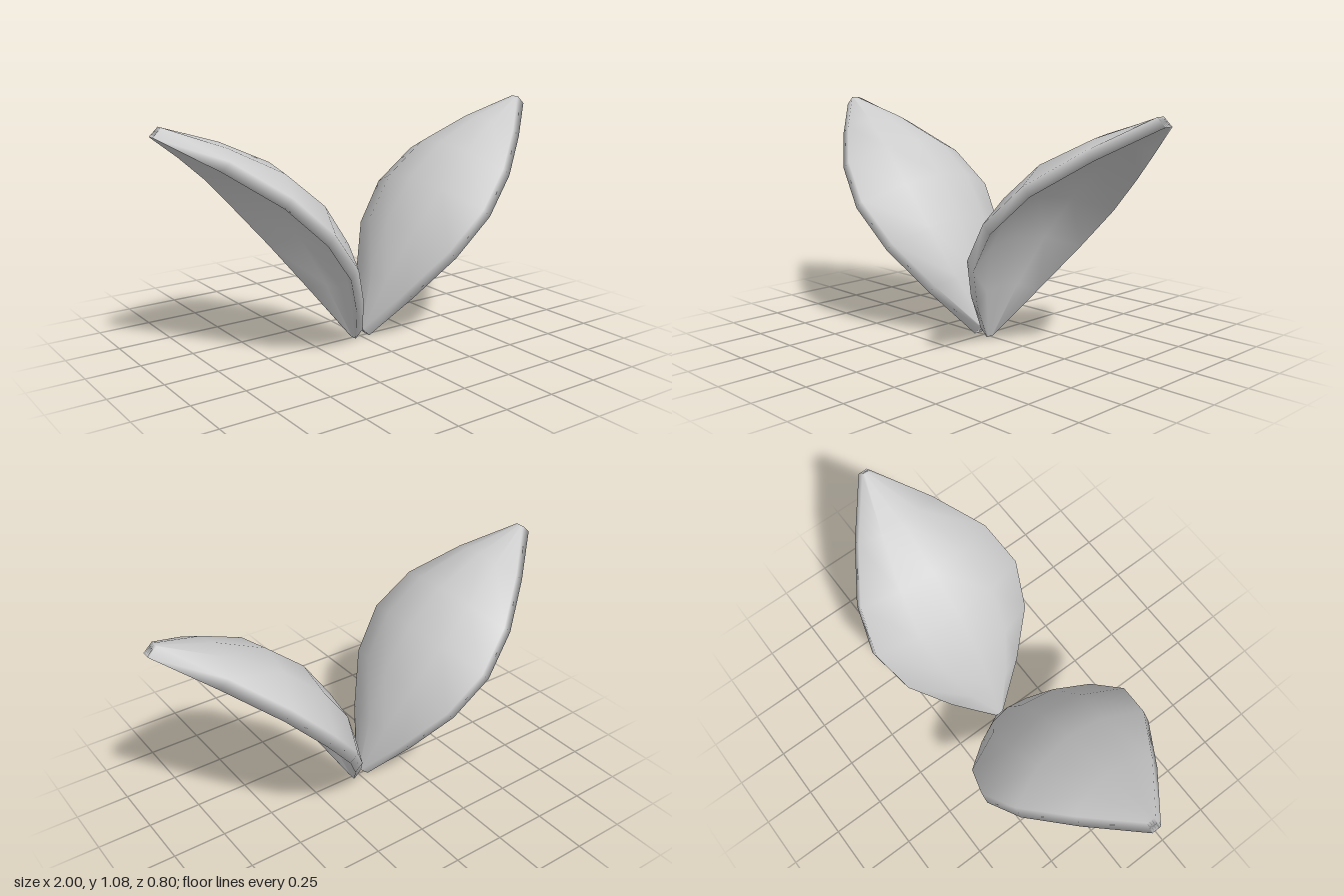
import * as THREE from 'three';

const leafMaterial = new THREE.MeshStandardMaterial({ color: 0xcccccc });
leafMaterial.name = 'pale grey';

// Lower rim of one leaf from base to tip, as [x, y]
const RIM = [[0.04, 0], [0.16, 0.21], [0.29, 0.415], [0.44, 0.6], [0.605, 0.765], [0.8, 0.91], [1, 1.04]];
const ACROSS = [-1, -0.5, 0, 0.5, 1];
const NORMAL = [-0.73, 0.68]; // direction the leaf blade faces
const THICKNESS = 0.055, CUP = 0.145, HALF_WIDTH = 0.4;

// Cupped blade: one closed ring per station, upper face then underside
function leafGeometry() {
  const positions = [], index = [];
  const last = RIM.length - 1, n = ACROSS.length, ring = 2 * n;

  RIM.forEach(([x, y], i) => {
    const swell = Math.sin(Math.PI * i / last);
    const width = Math.max(0.022, HALF_WIDTH * swell);
    const add = (u, lift) => {
      const h = CUP * swell * (1 - u * u) + lift;
      positions.push(x + NORMAL[0] * h, y + NORMAL[1] * h, u * width);
    };
    ACROSS.forEach(u => add(u, THICKNESS));
    [...ACROSS].reverse().forEach(u => add(u, 0));
  });

  const quad = (a, b, c, d) => index.push(a, b, d, b, c, d);
  for (let i = 0; i < last; i++) {
    for (let j = 0; j < ring; j++) {
      const k = (j + 1) % ring;
      quad(i * ring + j, i * ring + k, (i + 1) * ring + k, (i + 1) * ring + j);
    }
  }
  // Small end faces at the base and the tip
  const tip = last * ring;
  for (let j = 0; j < n - 1; j++) {
    const under = ring - 1 - j;
    quad(under, under - 1, j + 1, j);
    quad(tip + j, tip + j + 1, tip + under - 1, tip + under);
  }

  const geometry = new THREE.BufferGeometry();
  geometry.setAttribute('position', new THREE.Float32BufferAttribute(positions, 3));
  geometry.setIndex(index);
  geometry.computeVertexNormals();
  return geometry;
}

export function createModel() {
  const model = new THREE.Group();
  model.name = 'sprout';
  const geometry = leafGeometry();
  // Two matching leaves, half a turn apart
  ['leftLeaf', 'rightLeaf'].forEach((name, i) => {
    const leaf = new THREE.Mesh(geometry, leafMaterial);
    leaf.name = name;
    leaf.rotation.y = i * Math.PI;
    model.add(leaf);
  });
  return model;
}
